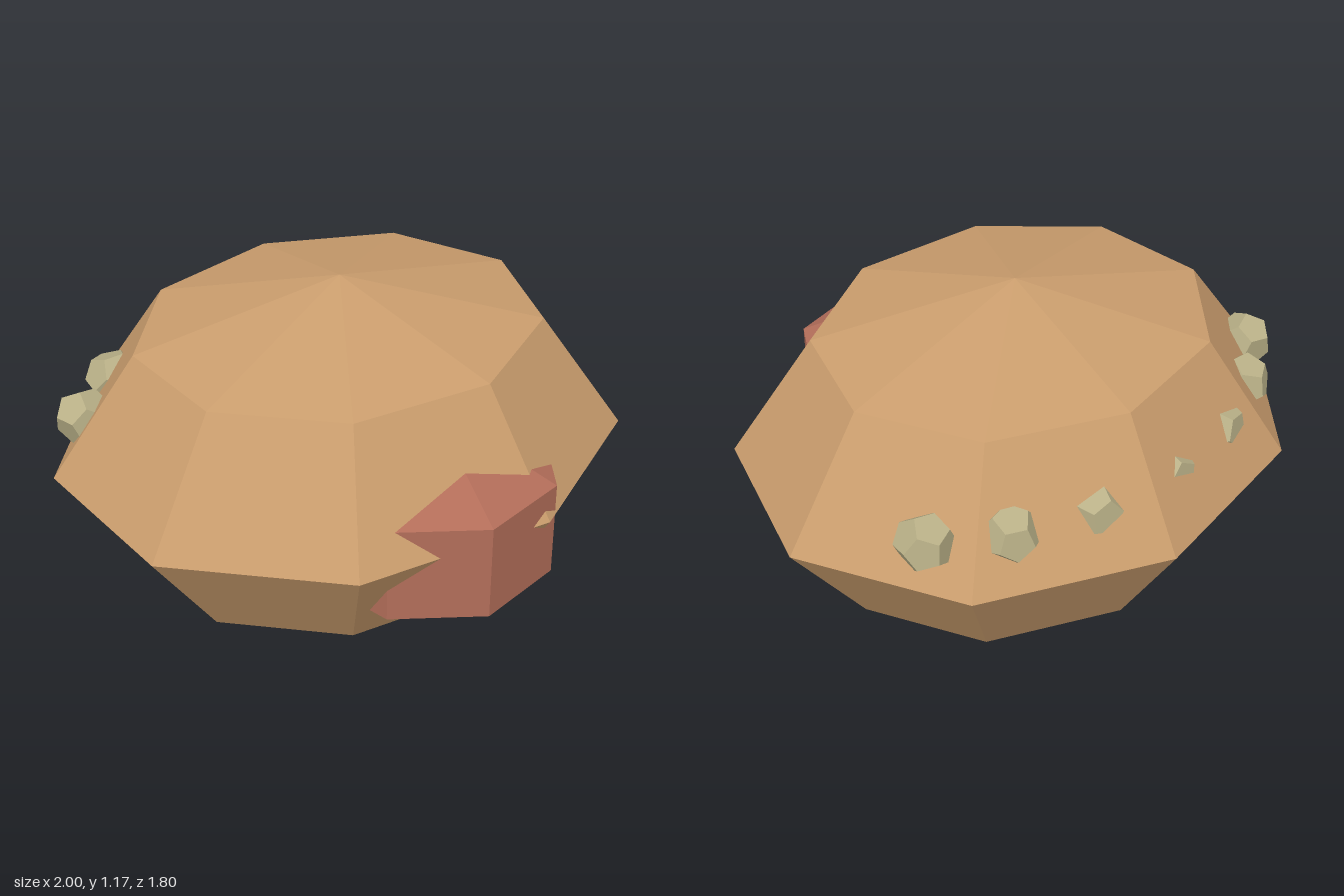
import * as THREE from 'three';

const flat = (geometry) => {
  const g = geometry.index ? geometry.toNonIndexed() : geometry;
  g.computeVertexNormals(); // per-face normals for a faceted look
  return g;
};

const material = (name, color) => {
  const m = new THREE.MeshStandardMaterial({ color });
  m.name = name;
  return m;
};

export function createModel() {
  const model = new THREE.Group();
  model.name = 'facetedShell';

  const tan = material('tan', 0xca9d6d);
  const red = material('brickRed', 0xb26d59);
  const stone = material('paleStone', 0xb9b087);

  const add = (name, geometry, mat, x, y, z) => {
    const mesh = new THREE.Mesh(flat(geometry), mat);
    mesh.name = name;
    mesh.position.set(x, y, z);
    model.add(mesh);
    return mesh;
  };

  // Body: squashed nine-sided ball
  const body = new THREE.SphereGeometry(1, 9, 4, Math.PI);
  body.scale(1.03, 0.587, 0.9);
  add('body', body, tan, -0.03, 0.59, -0.02);

  // Snout: eight-sided drum with pointed ends, sunk into the front
  const profile = [[0, -0.385], [0.43, -0.17], [0.43, 0.17], [0, 0.385]]
    .map(([r, y]) => new THREE.Vector2(r, y));
  const snout = new THREE.LatheGeometry(profile, 8, THREE.MathUtils.degToRad(-12));
  add('snout', snout, red, -0.035, 0.525, 0.475);

  // Studs: seven half-buried stones in an arc around the back
  for (let i = 0; i < 7; i++) {
    const a = THREE.MathUtils.degToRad(34 + i * 18.67);
    const g = new THREE.DodecahedronGeometry(0.1);
    g.rotateZ(-0.5536); // turn one face outward
    g.rotateX(0.3 + i * 0.35);
    g.rotateZ(0.15);
    const stud = add('stud' + (i + 1), g, stone,
      -0.03 + 0.96 * Math.cos(a), 0.735, -0.02 - 0.68 * Math.sin(a));
    stud.rotation.y = Math.atan2(Math.sin(a) / 0.68, Math.cos(a) / 0.96);
  }

  return model;
}
